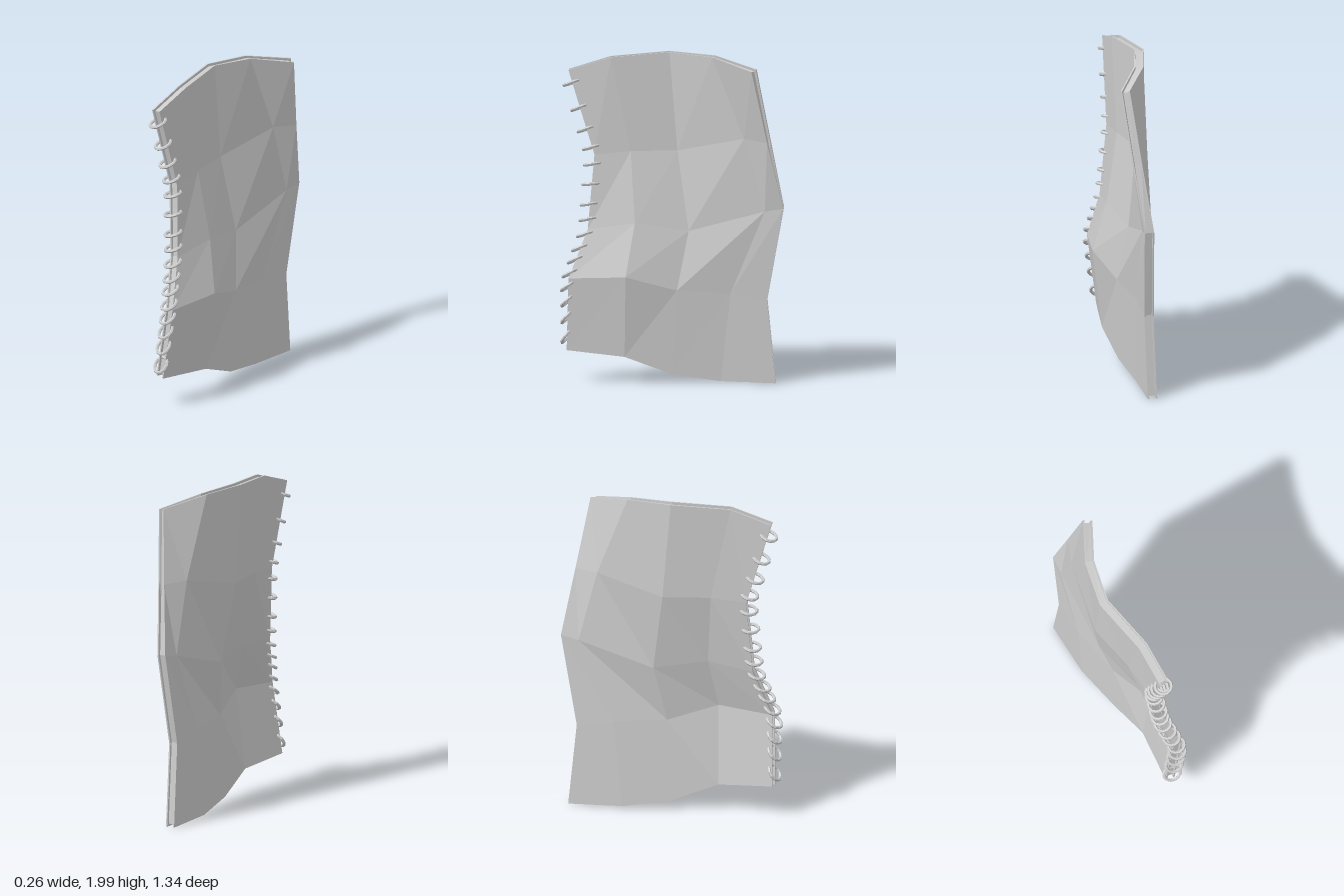
import * as THREE from 'three';

const material = new THREE.MeshStandardMaterial({ color: 0xcccccc, flatShading: true });
const N = 5; // control points per side of the warped sheet

// Rows run top to bottom, columns from the bound edge (+z) to the free edge (-z).
const rows = [
  [[-0.045, 1.89, 0.62], [-0.045, 1.97, 0.37], [-0.105, 1.995, 0.02], [-0.04, 1.98, -0.25], [0.1, 1.92, -0.5]],
  [[-0.035, 1.38, 0.465], [-0.05, 1.4, 0.25], [-0.1, 1.4, -0.03], [-0.02, 1.49, -0.44], [0.045, 1.48, -0.585]],
  [[-0.002, 0.93, 0.5], [0.02, 0.97, 0.22], [-0.04, 0.92, -0.1], [-0.02, 1.05, -0.56], [-0.01, 1.07, -0.67]],
  [[0.05, 0.64, 0.61], [0.095, 0.66, 0.27], [0.015, 0.57, -0.03], [-0.03, 0.55, -0.35], [-0.03, 0.51, -0.57]],
  [[-0.01, 0.2, 0.625], [0.035, 0.17, 0.28], [0, 0.06, 0], [-0.04, 0.015, -0.29], [-0.04, 0.005, -0.62]],
].map((row) => row.map((p) => new THREE.Vector3(...p)));

const cells = [];
for (let i = 0; i < N - 1; i++) {
  for (let j = 0; j < N - 1; j++) {
    const a = i * N + j;
    cells.push([a, a + N, a + 1], [a + 1, a + N, a + N + 1]);
  }
}

// Averaged normals, used to give the sheets thickness
const sheet = new THREE.BufferGeometry().setFromPoints(rows.flat());
sheet.setIndex(cells.flat());
sheet.computeVertexNormals();
const normals = rows.flat().map((_, k) =>
  new THREE.Vector3().fromBufferAttribute(sheet.attributes.normal, k));

// Clockwise outline of the grid, seen from +x
const outline = [];
for (let k = 0; k < N - 1; k++) outline.push(k);
for (let k = 0; k < N - 1; k++) outline.push(k * N + N - 1);
for (let k = N - 1; k > 0; k--) outline.push((N - 1) * N + k);
for (let k = N - 1; k > 0; k--) outline.push(k * N);

// Border points step toward their inner neighbours
function insetPoint(i, j, inset) {
  const p = rows[i][j].clone();
  const step = (q) => p.addScaledVector(q.clone().sub(rows[i][j]).normalize(), inset);
  if (i === 0) step(rows[1][j]);
  if (i === N - 1) step(rows[N - 2][j]);
  if (j === 0) step(rows[i][1]);
  if (j === N - 1) step(rows[i][N - 2]);
  return p;
}

// Closed warped slab between two offsets along the sheet normals
function slab(name, low, high, inset) {
  const points = [high, low].flatMap((offset) => normals.map((n, k) =>
    insetPoint(Math.floor(k / N), k % N, inset).addScaledVector(n, offset)));
  const back = N * N;
  const index = [];
  for (const [a, b, c] of cells) index.push(a, b, c, back + a, back + c, back + b);
  outline.forEach((p, k) => {
    const q = outline[(k + 1) % outline.length];
    index.push(p, q, back + p, q, back + q, back + p);
  });
  const indexed = new THREE.BufferGeometry().setFromPoints(points);
  indexed.setIndex(index);
  const geometry = indexed.toNonIndexed();
  geometry.computeVertexNormals();
  const mesh = new THREE.Mesh(geometry, material);
  mesh.name = name;
  return mesh;
}

// Point on the bound edge at a given height
function spineAt(y) {
  let i = 0;
  while (i < N - 2 && rows[i + 1][0].y > y) i++;
  const a = rows[i][0], b = rows[i + 1][0];
  return a.clone().lerp(b, (a.y - y) / (a.y - b.y));
}

export function createModel() {
  const group = new THREE.Group();
  group.name = 'notebook';

  group.add(
    slab('leftCover', 0.02, 0.029, 0),
    slab('pages', -0.02, 0.02, 0.016),
    slab('rightCover', -0.029, -0.02, 0),
  );

  // Binding rings: height and tilt, steeper toward the bottom
  const rings = [
    [1.81, 0.35], [1.66, 0.38], [1.53, 0.35], [1.42, 0.28], [1.32, 0.15], [1.2, 0.08],
    [1.08, 0.15], [0.99, 0.2], [0.9, 0.32], [0.82, 0.4], [0.75, 0.45], [0.67, 0.5],
    [0.59, 0.6], [0.5, 0.75], [0.4, 0.85], [0.28, 0.95],
  ];
  const ringGeometry = new THREE.TorusGeometry(0.05, 0.01, 6, 12).rotateX(Math.PI / 2);
  const binding = new THREE.Group();
  binding.name = 'ringBinding';
  for (const [y, tilt] of rings) {
    const ring = new THREE.Mesh(ringGeometry, material);
    ring.name = 'ring';
    ring.position.copy(spineAt(y));
    ring.position.z += 0.006;
    ring.rotation.set(tilt, 0, 0.2);
    binding.add(ring);
  }
  group.add(binding);
  return group;
}
